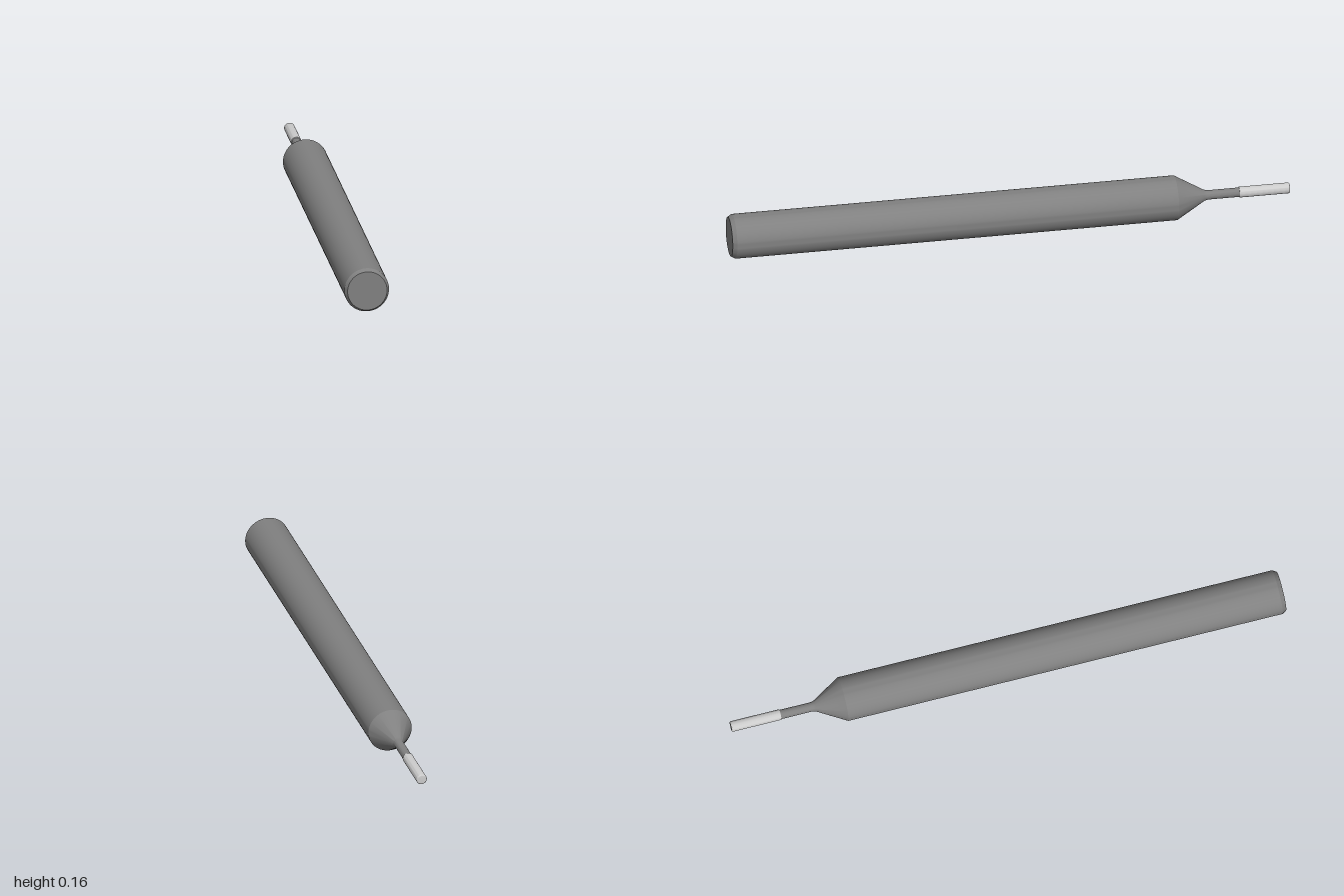
import * as THREE from 'three';
import { toCreasedNormals } from 'three/addons/utils/BufferGeometryUtils.js';

const R = 0.079; // shank radius, also the height of the axis

// Turns a [radius, z] profile (listed from back to front) around the z axis
function turned(name, profile, color) {
  const points = profile.map(([r, z]) => new THREE.Vector2(r, z));
  const lathe = new THREE.LatheGeometry(points, 64).rotateX(Math.PI / 2);
  const mesh = new THREE.Mesh(
    toCreasedNormals(lathe, Math.PI / 9),
    new THREE.MeshStandardMaterial({ color })
  );
  mesh.name = name;
  mesh.position.y = R;
  return mesh;
}

export function createModel() {
  const group = new THREE.Group();
  group.name = 'endMill';

  // Shank with chamfered front end, tapering through a small fillet into the neck
  group.add(turned('shankAndNeck', [
    [0.0165, -0.82], [0.0165, -0.71], [0.0175, -0.702], [0.02, -0.694],
    [R, -0.592], [R, 0.985], [0.07, 1], [0, 1],
  ], 0x808080));

  // Cutting tip with a rounded corner at its end
  const tip = [[0, -1]];
  const corner = 0.005, tipR = 0.019;
  for (let i = 0; i <= 6; i++) {
    const a = (i / 6) * Math.PI / 2;
    tip.push([tipR - corner + corner * Math.sin(a), -1 + corner - corner * Math.cos(a)]);
  }
  tip.push([tipR, -0.82], [0, -0.82]);
  group.add(turned('cuttingTip', tip, 0xcccccc));

  return group;
}
